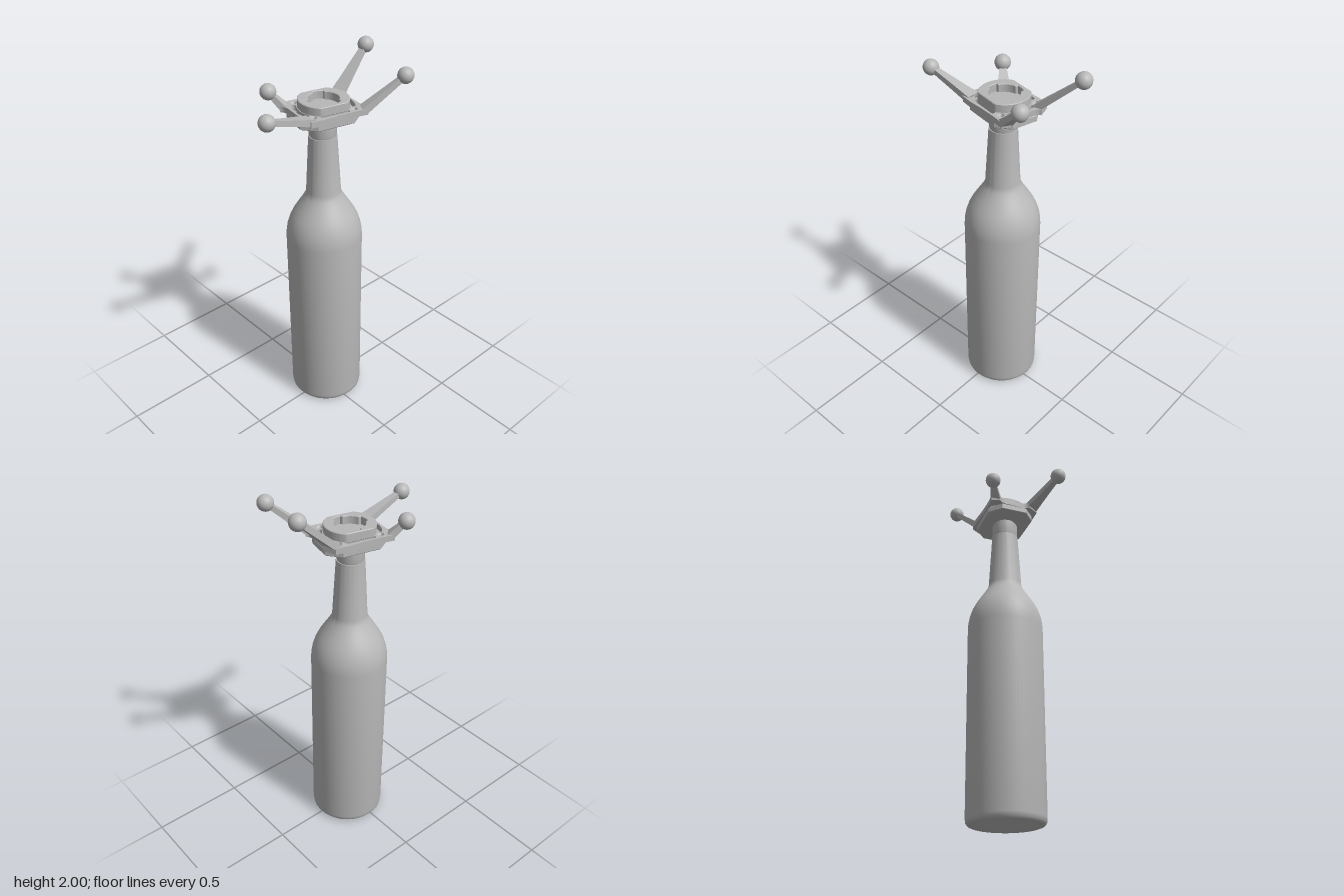
import * as THREE from 'three';
import { toCreasedNormals } from 'three/addons/utils/BufferGeometryUtils.js';

const grey = new THREE.MeshStandardMaterial({ color: 0xb8b8b8 });
grey.name = 'plain grey';

const rad = THREE.MathUtils.degToRad;
const V2 = (x, y) => new THREE.Vector2(x, y);
const polar = (r, deg) => V2(r * Math.cos(rad(deg)), r * Math.sin(rad(deg)));

function add(parent, name, geometry) {
  const mesh = new THREE.Mesh(geometry, grey);
  mesh.name = name;
  parent.add(mesh);
  return mesh;
}

function lathe(points, segments = 64) {
  return toCreasedNormals(new THREE.LatheGeometry(points.map(([r, y]) => V2(r, y)), segments), rad(40));
}

// Horizontal slab: shape lies in x/z, with its top at yTop
function slab(shape, yTop, yBottom, bevel = 0) {
  const g = new THREE.ExtrudeGeometry(shape, {
    depth: yTop - yBottom - 2 * bevel, curveSegments: 32, bevelEnabled: bevel > 0,
    bevelThickness: bevel, bevelSize: bevel, bevelOffset: -bevel, bevelSegments: 1,
  });
  g.rotateX(Math.PI / 2).translate(0, yTop - bevel, 0);
  return toCreasedNormals(g, rad(30));
}

// Straight slot with round ends, running along z
function straightSlot(x, half, w) {
  const p = new THREE.Path();
  p.absarc(x, half - w, w, 0, Math.PI, false);
  p.absarc(x, -half + w, w, Math.PI, 2 * Math.PI, false);
  p.closePath();
  return p;
}

// Slot following an arc around the centre
function curvedSlot(r, w, mid, spread) {
  const a = rad(mid - spread), b = rad(mid + spread), p = new THREE.Path();
  p.absarc(0, 0, r + w, a, b, false);
  p.absarc(r * Math.cos(b), r * Math.sin(b), w, b, b + Math.PI, false);
  p.absarc(0, 0, r - w, b, a, true);
  p.absarc(r * Math.cos(a), r * Math.sin(a), w, a + Math.PI, a + 2 * Math.PI, false);
  return p;
}

function circle(x, y, r) {
  const p = new THREE.Path();
  p.absarc(x, y, r, 0, Math.PI * 2, false);
  return p;
}

// Tapered arm: a box bent onto the line from root to tip
function armGeometry(root, tip, rootHalf) {
  const g = new THREE.BoxGeometry(1, 1, 1, 1, 1, 8);
  const dir = tip.clone().sub(root).normalize();
  const side = new THREE.Vector3(0, 1, 0).cross(dir).normalize();
  const up = dir.clone().cross(side);
  const pos = g.attributes.position, v = new THREE.Vector3();
  for (let i = 0; i < pos.count; i++) {
    const t = pos.getZ(i) + 0.5;
    const width = 2 * THREE.MathUtils.lerp(rootHalf, 0.013, Math.pow(t, 0.85));
    const thick = THREE.MathUtils.lerp(0.036, 0.024, t);
    v.lerpVectors(root, tip, t)
      .addScaledVector(side, pos.getX(i) * width)
      .addScaledVector(up, pos.getY(i) * thick);
    pos.setXYZ(i, v.x, v.y, v.z);
  }
  return toCreasedNormals(g, rad(30));
}

export function createModel() {
  const model = new THREE.Group();
  model.name = 'bottle with four armed holder';

  // Bottle, leaning very slightly, with a hollow underside
  const bottle = new THREE.Group();
  bottle.name = 'bottle';
  bottle.position.set(-0.008, 0.004, -0.022);
  bottle.rotation.set(0.006, 0, 0.012);
  model.add(bottle);
  add(bottle, 'bottleBody', lathe([
    [0, 0.07], [0.05, 0.063], [0.1, 0.04], [0.14, 0.012], [0.16, 0.002], [0.178, 0], [0.19, 0.005],
    [0.198, 0.015], [0.201, 0.035], [0.201, 1.04], [0.199, 1.07], [0.193, 1.105], [0.18, 1.145],
    [0.163, 1.18], [0.14, 1.217], [0.115, 1.255], [0.1, 1.28], [0.093, 1.295], [0.09, 1.31],
    [0.072, 1.615], [0, 1.615],
  ]));
  add(bottle, 'collar', lathe([
    [0.066, 1.61], [0.07, 1.625], [0.069, 1.69], [0.062, 1.695], [0.062, 1.72],
  ]));

  // Holder head, turned about the vertical axis
  const centre = new THREE.Vector3(-0.028, 0, -0.0185);
  const head = new THREE.Group();
  head.name = 'holderHead';
  head.position.copy(centre);
  head.rotation.y = -rad(13.2);
  model.add(head);

  // Lower plate with cut corners
  const octagon = [[0.13, 0.1], [0.07, 0.165], [-0.07, 0.165], [-0.13, 0.1],
    [-0.13, -0.1], [-0.07, -0.165], [0.07, -0.165], [0.13, -0.1]];
  add(head, 'lowerPlate', slab(new THREE.Shape(octagon.map(p => V2(...p))), 1.741, 1.706, 0.004));

  // Slotted frame, the same after half a turn
  const frame = new THREE.Shape();
  frame.moveTo(-0.143, -0.144);
  for (const s of [1, -1]) {
    frame.lineTo(-0.143 * s, -0.144 * s);
    frame.lineTo(-0.085 * s, -0.179 * s);
    frame.quadraticCurveTo(-0.075 * s, -0.164 * s, -0.05 * s, -0.163 * s);
    frame.lineTo(0.05 * s, -0.167 * s);
    frame.quadraticCurveTo(0.08 * s, -0.17 * s, 0.093 * s, -0.188 * s);
    frame.lineTo(0.138 * s, -0.17 * s);
    frame.quadraticCurveTo(0.13 * s, -0.07 * s, 0.145 * s, 0.073 * s);
  }
  frame.closePath();
  frame.holes.push(circle(0, 0, 0.095));
  for (const s of [1, -1]) {
    frame.holes.push(straightSlot(0.114 * s, 0.079, 0.0105));
    frame.holes.push(curvedSlot(0.143, 0.011, 90 * s, 28));
    for (const t of [1, -1]) frame.holes.push(circle(0.101 * s, 0.111 * t, 0.018));
  }
  add(head, 'frame', slab(frame, 1.77, 1.74));

  // Countersunk screw holes
  const funnel = lathe([[0.009, 1.742], [0.009, 1.755], [0.0182, 1.769]].reverse(), 24);
  const sinkMaterial = grey.clone();
  sinkMaterial.side = THREE.DoubleSide;
  for (const x of [0.101, -0.101]) for (const z of [0.111, -0.111]) {
    const sink = add(head, 'screwHole', funnel);
    sink.material = sinkMaterial;
    sink.position.set(x, 0, z);
  }

  // Raised ring with two flats and a notched twist-lock opening
  const ringPoints = [], holePoints = [];
  const notchStarts = [-40, 62, 172];
  for (let a = 0; a < 360; a += 4) {
    const p = polar(0.128, a);
    ringPoints.push(V2(THREE.MathUtils.clamp(p.x, -0.107, 0.107), p.y));
    const notched = notchStarts.some(n => (a - n + 720) % 360 < 40);
    holePoints.push(polar(notched ? 0.089 : 0.077, a));
  }
  const ring = new THREE.Shape(ringPoints);
  ring.holes.push(new THREE.Path(holePoints));
  add(head, 'lockRing', slab(ring, 1.812, 1.765, 0.003));
  add(head, 'lockFloor', new THREE.CylinderGeometry(0.096, 0.096, 0.03, 48).translate(0, 1.755, 0));

  // Four arms ending in balls: root x/z from the centre, half width, ball position
  const arms = [
    ['backRight', -0.068, -0.145, 0.035, [-0.128, 1.96, -0.397]],
    ['backLeft', 0.14, -0.13, 0.03, [0.218, 1.915, -0.323]],
    ['frontLeft', 0.068, 0.145, 0.035, [0.052, 1.833, 0.393]],
    ['frontRight', -0.14, 0.13, 0.03, [-0.223, 1.833, 0.166]],
  ];
  const ballGeometry = new THREE.SphereGeometry(0.041, 32, 20);
  for (const [name, x, z, half, end] of arms) {
    const tip = new THREE.Vector3(...end);
    const root = new THREE.Vector3(x, 1.755, z).add(centre);
    add(model, name + 'Arm', armGeometry(root, tip, half));
    add(model, name + 'Ball', ballGeometry).position.copy(tip);
  }
  return model;
}
